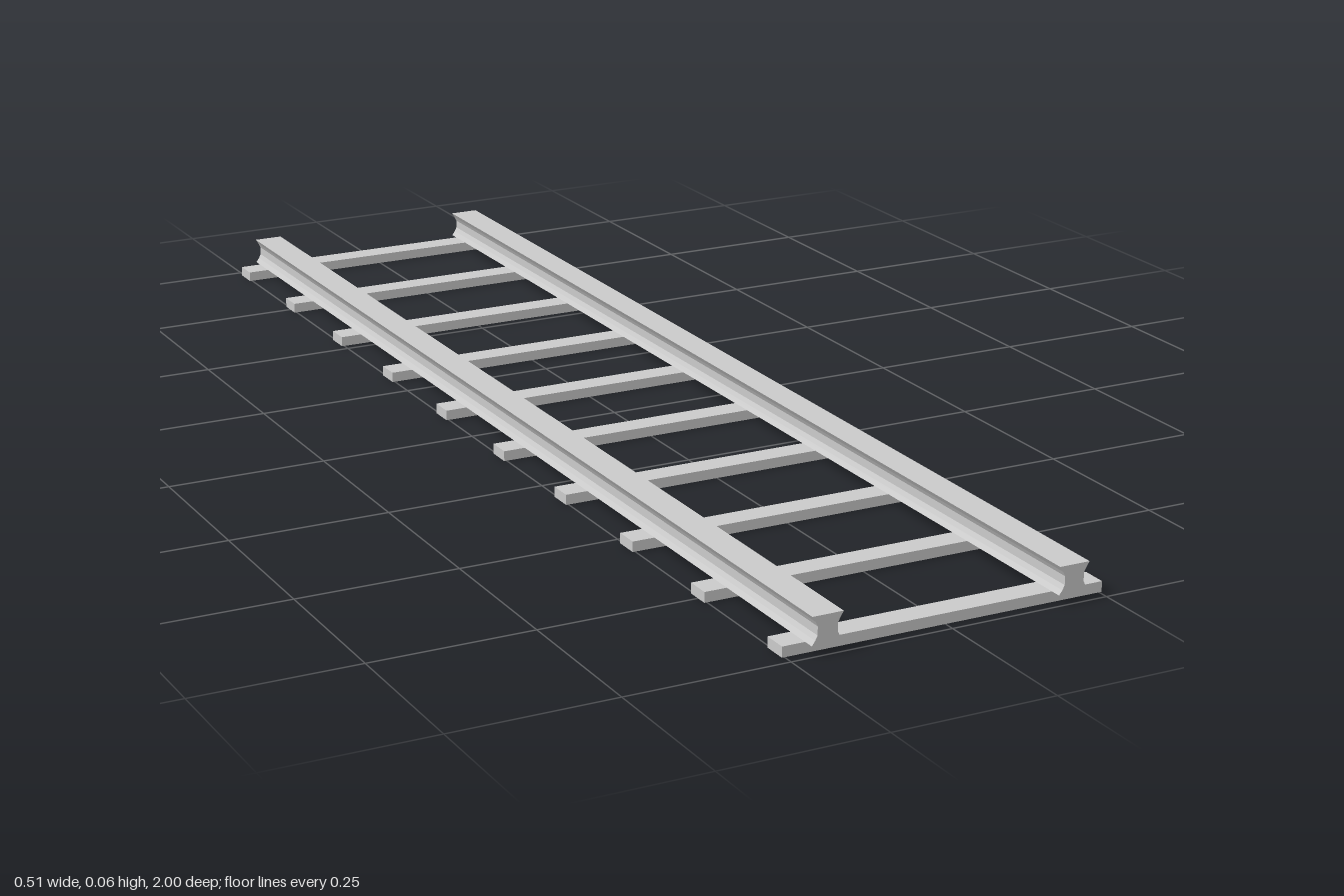
import * as THREE from 'three';

export function createModel() {
  const group = new THREE.Group();
  const material = new THREE.MeshStandardMaterial({ color: 0xcccccc, flatShading: true });

  // Rail: waisted section with flared head and foot, extruded along z
  const half = [[0.024, 0.016], [0.019, 0.023], [0.0155, 0.03], [0.0155, 0.043], [0.019, 0.05], [0.024, 0.058]];
  const outline = [...half, ...half.map(([x, y]) => [-x, y]).reverse()];
  const section = new THREE.Shape(outline.map(([x, y]) => new THREE.Vector2(x, y)));
  const railGeometry = new THREE.ExtrudeGeometry(section, { depth: 2, bevelEnabled: false });
  railGeometry.translate(0, 0, -1);
  for (const side of [-1, 1]) {
    const rail = new THREE.Mesh(railGeometry, material);
    rail.name = side > 0 ? 'leftRail' : 'rightRail';
    rail.position.x = side * 0.195;
    group.add(rail);
  }

  // Evenly spaced sleepers under the rails
  const count = 10;
  const endZ = 0.963;
  const sleeperGeometry = new THREE.BoxGeometry(0.508, 0.016, 0.039);
  for (let i = 0; i < count; i++) {
    const sleeper = new THREE.Mesh(sleeperGeometry, material);
    sleeper.name = `sleeper${i + 1}`;
    sleeper.position.set(0, 0.008, -endZ + (2 * endZ * i) / (count - 1));
    group.add(sleeper);
  }
  return group;
}
